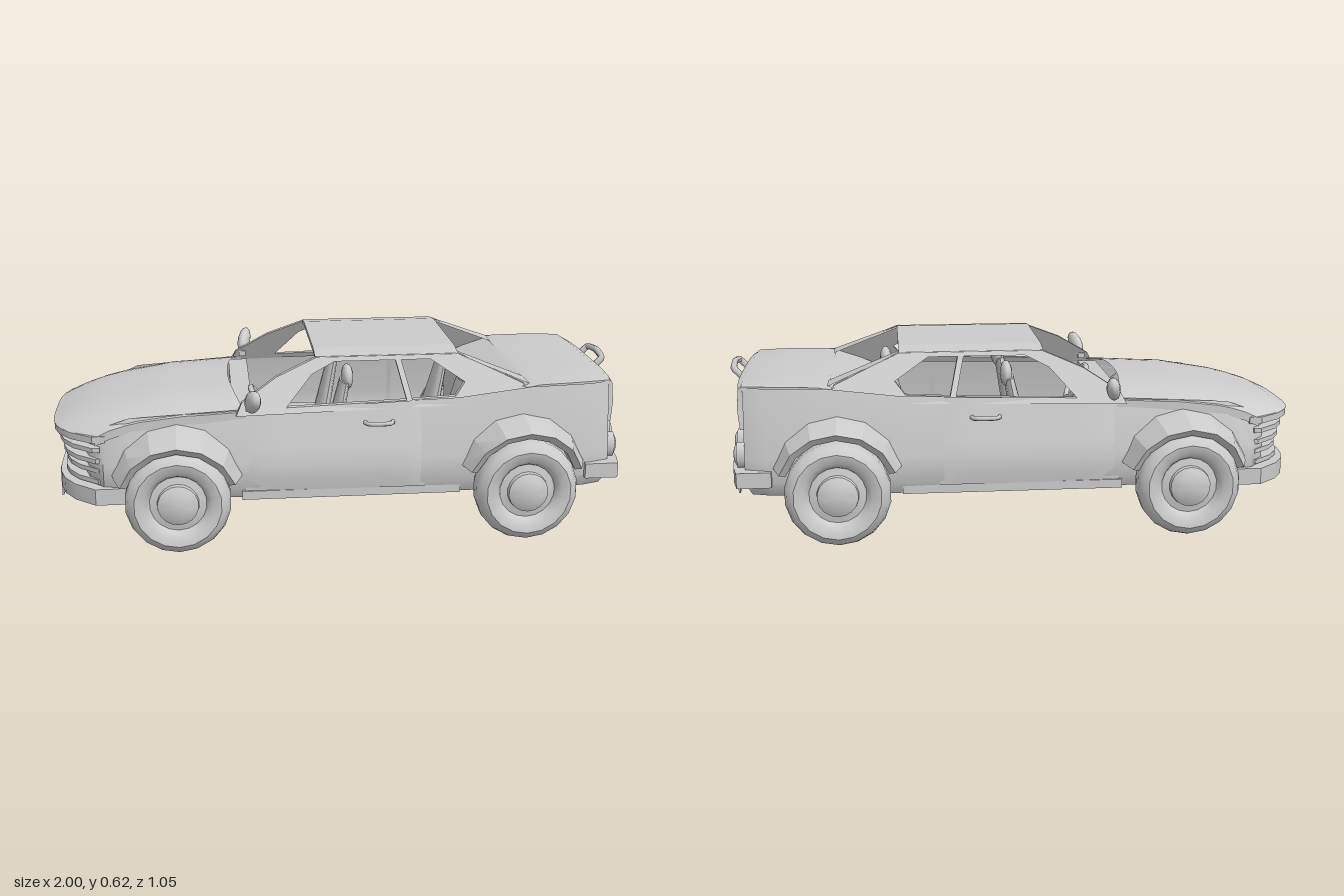
import * as THREE from 'three';
import { toCreasedNormals, mergeVertices } from 'three/addons/utils/BufferGeometryUtils.js';

const mat = new THREE.MeshStandardMaterial({ color: 0xcccccc, side: THREE.DoubleSide });

function add(parent, name, geo, x = 0, y = 0, z = 0) {
  const m = new THREE.Mesh(geo, mat);
  m.name = name;
  m.position.set(x, y, z);
  parent.add(m);
  return m;
}

// linear lookup in a sorted [[x, value], ...] table
function look(table, x) {
  for (let i = 1; i < table.length; i++) {
    const [x0, a] = table[i - 1], [x1, b] = table[i];
    if (x <= x1) return a + (b - a) * Math.max(0, (x - x0) / (x1 - x0));
  }
  return table[table.length - 1][1];
}

// grid surface from f(i, j) => [x, y, z]
function surf(nu, nv, f, crease = 0.6) {
  const pos = [], idx = [];
  for (let i = 0; i <= nu; i++) for (let j = 0; j <= nv; j++) pos.push(...f(i, j));
  for (let i = 0; i < nu; i++) for (let j = 0; j < nv; j++) {
    const a = i * (nv + 1) + j, b = a + nv + 1;
    idx.push(a, a + 1, b, b, a + 1, b + 1);
  }
  const g = new THREE.BufferGeometry();
  g.setAttribute('position', new THREE.Float32BufferAttribute(pos, 3));
  g.setIndex(idx);
  g.computeVertexNormals();
  return toCreasedNormals(g, crease);
}

const poly = pts => new THREE.Shape(pts.map(p => new THREE.Vector2(...p)));
const extrude = (shape, depth) => new THREE.ExtrudeGeometry(shape, { depth, bevelEnabled: false });

// horizontal slab with a bowed end: x0 tip, bow setback at corners, back = straight end
function slab(x0, bow, half, back, y0, y1) {
  const pts = [[back, -half]];
  for (let i = 0; i <= 12; i++) {
    const v = i / 6 - 1;
    pts.push([x0 + bow * v ** 4, v * half]);
  }
  pts.push([back, half]);
  return toCreasedNormals(extrude(poly(pts), y1 - y0).rotateX(Math.PI / 2).translate(0, y1, 0), 0.5);
}

// half-width plan, shoulder height and tumblehome of the lower body
const plan = [[-0.9, 0], [-0.89, 0.2], [-0.86, 0.31], [-0.81, 0.365], [-0.72, 0.385], [-0.35, 0.40],
  [0, 0.41], [0.4, 0.415], [0.65, 0.415], [0.86, 0.405], [0.93, 0.38], [0.945, 0.2], [0.95, 0]];
const belt = [[-0.9, 0.365], [-0.8, 0.40], [-0.72, 0.432], [-0.35, 0.455], [-0.2, 0.46], [0.4, 0.48], [0.62, 0.51], [0.95, 0.515]];
const topScale = 0.89;
function sideZ(x, y) {
  const t = Math.max(0, (y - 0.28) / (look(belt, x) - 0.28));
  return look(plan, x) * (1 - (1 - topScale) * t);
}

function wheel() {
  const g = new THREE.Group();
  const tyre = [[0.08, -0.05], [0.13, -0.057], [0.165, -0.05], [0.176, -0.025], [0.177, 0.02], [0.168, 0.045],
    [0.145, 0.06], [0.115, 0.055], [0.10, 0.04], [0.095, 0.03], [0.07, 0.035], [0.068, 0.052], [0.045, 0.064], [0, 0.068]];
  const geo = new THREE.LatheGeometry(tyre.map(p => new THREE.Vector2(...p)), 18);
  add(g, 'tyreAndHub', toCreasedNormals(mergeVertices(geo), 0.7).rotateX(Math.PI / 2));
  add(g, 'innerDisc', new THREE.CylinderGeometry(0.085, 0.085, 0.01, 18).rotateX(Math.PI / 2), 0, 0, -0.05);
  return g;
}

// flared arch swept round the wheel, narrowing towards both ends
function flare() {
  const sec = [[0.235, 0.36], [0.222, 0.44], [0.2, 0.517], [0.178, 0.5], [0.18, 0.36]];
  return surf(6, 4, (i, j) => {
    const a = 0.3 + (Math.PI - 0.6) * i / 6, [r, z] = sec[j];
    const k = 0.62 + 0.38 * Math.sin(a);
    return [r * Math.cos(a) * 1.0, r * Math.sin(a) * 1.02, 0.36 + (z - 0.36) * k];
  }, 0.4);
}

function seat(parent, name, x, z, w, top, recline) {
  const g = new THREE.Group();
  g.name = name;
  g.position.set(x, 0, z);
  parent.add(g);
  add(g, 'cushion', surf(4, 8, (i, j) => {
    const a = j / 8 * Math.PI;
    return [-0.2 + i * 0.055, 0.2 + 0.09 * Math.sin(a) ** 0.5 + (i % 4 ? 0.01 : -0.01), -Math.cos(a) * w / 2];
  }));
  const back = new THREE.CylinderGeometry(0.055, w / 2, top - 0.29, 12).scale(1, 1, 1);
  back.applyMatrix4(new THREE.Matrix4().makeScale(0.32, 1, 1));
  add(g, 'backrest', toCreasedNormals(back, 0.8), 0, (top + 0.2) / 2, 0).rotation.z = -recline;
  add(g, 'headrest', new THREE.SphereGeometry(1, 12, 8).scale(0.022, 0.045, 0.048), 0.035, top - 0.035, 0);
}

// everything that exists on both sides, built on +z
function sideParts() {
  const g = new THREE.Group();
  for (const [name, x] of [['front', -0.56], ['rear', 0.62]]) {
    const w = wheel();
    w.name = name + 'Wheel';
    w.position.set(x, 0.177, 0.455);
    g.add(w);
    add(g, name + 'WheelArch', flare(), x, name === 'rear' ? 0.185 : 0.172, 0);
  }
  // window frame with two openings, leaning inwards
  const frame = poly([[-0.36, 0.44], [-0.34, 0.48], [-0.22, 0.555], [-0.08, 0.612], [0.41, 0.612], [0.53, 0.56], [0.63, 0.515], [0.64, 0.46]]);
  frame.holes.push(poly([[-0.19, 0.462], [0.22, 0.474], [0.19, 0.598], [-0.02, 0.598], [-0.1, 0.56]]));
  frame.holes.push(poly([[0.24, 0.475], [0.39, 0.482], [0.425, 0.525], [0.31, 0.598], [0.21, 0.598]]));
  const fg = extrude(frame, 0.022), p = fg.attributes.position;
  for (let i = 0; i < p.count; i++) p.setZ(i, p.getZ(i) + 0.35 - (p.getY(i) - 0.46) * 0.57);
  fg.computeVertexNormals();
  add(g, 'windowFrame', fg);
  // sail panel beside the rear window
  add(g, 'rearPillar', surf(1, 1, (i, j) => [[0.40, 0.614, j ? 0.285 : 0.23], [0.65, 0.515, j ? 0.35 : 0.25]][i]));
  // raised door skin
  add(g, 'door', surf(10, 6, (i, j) => {
    const x = -0.335 + 0.615 * i / 10, y = 0.18 + (look(belt, x) - 0.18) * j / 6;
    const edge = i % 10 === 0 || j === 0;
    return [x, y, sideZ(x, y) + (edge ? -0.002 : 0.006)];
  }));
  add(g, 'sill', new THREE.BoxGeometry(0.75, 0.03, 0.04), 0.03, 0.165, 0.385);
  const grip = new THREE.CatmullRomCurve3([[0.075, 0], [0.085, 0.022], [0.16, 0.022], [0.17, 0]].map(q => new THREE.Vector3(q[0], 0.407, 0.385 + q[1])));
  add(g, 'doorHandle', new THREE.TubeGeometry(grip, 10, 0.008, 6));
  // mirror on a short stalk
  const m = add(g, 'mirror', new THREE.SphereGeometry(1, 14, 10).scale(0.024, 0.037, 0.066), -0.305, 0.502, 0.425);
  m.rotation.set(-0.42, 0.2, 0);
  add(g, 'mirrorStalk', new THREE.BoxGeometry(0.025, 0.02, 0.06), -0.315, 0.47, 0.365);
  // round tail lamps
  for (const [y, z] of [[0.285, 0.34], [0.317, 0.285]]) {
    const tilt = Math.PI / 2;
    const ring = new THREE.CylinderGeometry(0.044, 0.044, 0.05, 20).rotateZ(tilt).scale(1, 1, 0.66);
    add(g, 'tailLamp', ring, 0.932, y, z);
    add(g, 'tailLampLens', new THREE.SphereGeometry(0.036, 16, 10).scale(0.35, 1, 0.66), 0.957, y, z);
  }
  seat(g, 'frontSeat', 0.0, 0.19, 0.19, 0.55, 0.2);
  seat(g, 'rearSeat', 0.42, 0.18, 0.2, 0.54, 0.22);
  return g;
}

export function createModel() {
  const car = new THREE.Group();
  car.name = 'car';

  // lower body: plan outline stacked at four heights, open above the cabin
  const ring = [...plan, ...plan.slice(1, -1).reverse().map(([x, z]) => [x, -z]), plan[0]];
  const levels = [[0.15, 0.94], [0.195, 1], [0.28, 1], [0, topScale]];
  add(car, 'bodyShell', surf(ring.length - 1, 3, (i, j) => {
    const [x, z] = ring[i];
    return [j === 0 ? x * 0.98 : x, levels[j][0] || look(belt, x), z * levels[j][1]];
  }));
  add(car, 'floor', new THREE.ShapeGeometry(poly(ring.slice(0, -1).map(([x, z]) => [x * 0.98, z * 0.94]))).rotateX(Math.PI / 2), 0, 0.15, 0);

  // bonnet with a bowed nose and crowned top
  const crown = [[0, 0.375], [0.08, 0.40], [0.25, 0.437], [0.6, 0.478], [1, 0.49]];
  add(car, 'bonnet', surf(10, 18, (i, j) => {
    const t = i / 10, rim = j === 0 || j === 18;
    const v = Math.max(-1, Math.min(1, (j - 9) / 8));
    const x = (-0.995 + 0.16 * v ** 4) * (1 - t) + (-0.38 + 0.05 * v * v) * t;
    const drop = (0.005 + 0.035 * Math.min(1, t * 1.6)) * Math.abs(v) ** 3;
    return [x, look(crown, t) - drop - (rim ? 0.03 : 0), v * (0.352 + 0.012 * t)];
  }, 0.8));

  // nose: bonnet lip, grille bars, bumper
  add(car, 'bonnetLip', slab(-0.993, 0.15, 0.355, -0.8, 0.352, 0.375));
  for (const [x, y] of [[-0.975, 0.325], [-0.965, 0.285], [-0.955, 0.25], [-0.96, 0.212]])
    add(car, 'grilleBar', slab(x, 0.13, 0.35, -0.82, y - 0.008, y + 0.008));
  add(car, 'frontBumper', slab(-0.978, 0.14, 0.39, -0.73, 0.143, 0.2));
  add(car, 'frontPlate', new THREE.BoxGeometry(0.006, 0.105, 0.2), -0.981, 0.128, 0);

  // tail: boot lid, bumper, plate, grab handle
  const lid = [[0.635, 0.512, 0.365], [0.68, 0.522, 0.362], [0.82, 0.525, 0.355], [0.935, 0.525, 0.335], [0.958, 0.515, 0.33], [0.962, 0.44, 0.34], [0.955, 0.372, 0.348], [0.935, 0.372, 0.345]];
  add(car, 'bootLid', surf(7, 12, (i, j) => {
    const v = Math.max(-1, Math.min(1, (j - 6) / 5)), [x, y, w] = lid[i];
    const rim = j === 0 || j === 12;
    return [x - (i > 3 ? 0.012 * v ** 4 + (rim ? 0.03 : 0) : 0), y - (i < 5 ? 0.008 * v ** 4 + (rim ? 0.02 : 0) : 0), v * w];
  }));
  add(car, 'rearBumper', slab(0.985, -0.03, 0.425, 0.84, 0.19, 0.243));
  add(car, 'rearPlate', new THREE.BoxGeometry(0.006, 0.135, 0.2), 0.987, 0.143, 0);
  const grab = [[0.955, 0.5, -0.09], [0.985, 0.53, -0.085], [0.99, 0.538, 0], [0.985, 0.53, 0.085], [0.955, 0.5, 0.09]];
  add(car, 'bootHandle', new THREE.TubeGeometry(new THREE.CatmullRomCurve3(grab.map(q => new THREE.Vector3(...q)), false, 'catmullrom', 0.2), 20, 0.012, 6));

  // roof panel
  const roof = poly([[-0.292, 0.6], [-0.28, 0.613], [-0.2, 0.624], [0.2, 0.624], [0.28, 0.613], [0.292, 0.6], [0.27, 0.6], [0.2, 0.609], [-0.2, 0.609], [-0.27, 0.6]]);
  add(car, 'roof', extrude(roof, 0.495).rotateY(Math.PI / 2), -0.085, 0, 0);

  // interior
  add(car, 'parcelShelf', surf(1, 1, (i, j) => [0.49 + 0.155 * i, 0.455 + 0.06 * i, (j ? 1 : -1) * (0.33 + 0.02 * i)]));
  add(car, 'rearBulkhead', new THREE.BoxGeometry(0.02, 0.3, 0.68), 0.495, 0.305, 0);
  add(car, 'dashboard', new THREE.BoxGeometry(0.07, 0.12, 0.66), -0.335, 0.39, 0);
  add(car, 'firewall', new THREE.BoxGeometry(0.02, 0.28, 0.7), -0.36, 0.3, 0);
  add(car, 'centreConsole', new THREE.BoxGeometry(0.5, 0.1, 0.1), -0.12, 0.2, 0);
  const wheelGroup = new THREE.Group();
  wheelGroup.name = 'steeringWheel';
  wheelGroup.position.set(-0.265, 0.41, 0.14);
  wheelGroup.rotation.set(0, Math.PI / 2, 0);
  wheelGroup.rotateX(-0.55);
  car.add(wheelGroup);
  add(wheelGroup, 'rim', new THREE.TorusGeometry(0.07, 0.01, 8, 20));
  add(wheelGroup, 'spoke', new THREE.BoxGeometry(0.13, 0.025, 0.012));
  add(wheelGroup, 'column', new THREE.CylinderGeometry(0.015, 0.015, 0.08, 8).rotateX(Math.PI / 2), 0, 0, -0.04);

  // mirrored sides
  const left = sideParts(), right = sideParts();
  left.name = 'nearSide';
  right.name = 'farSide';
  right.scale.z = -1;
  car.add(left, right);
  return car;
}
